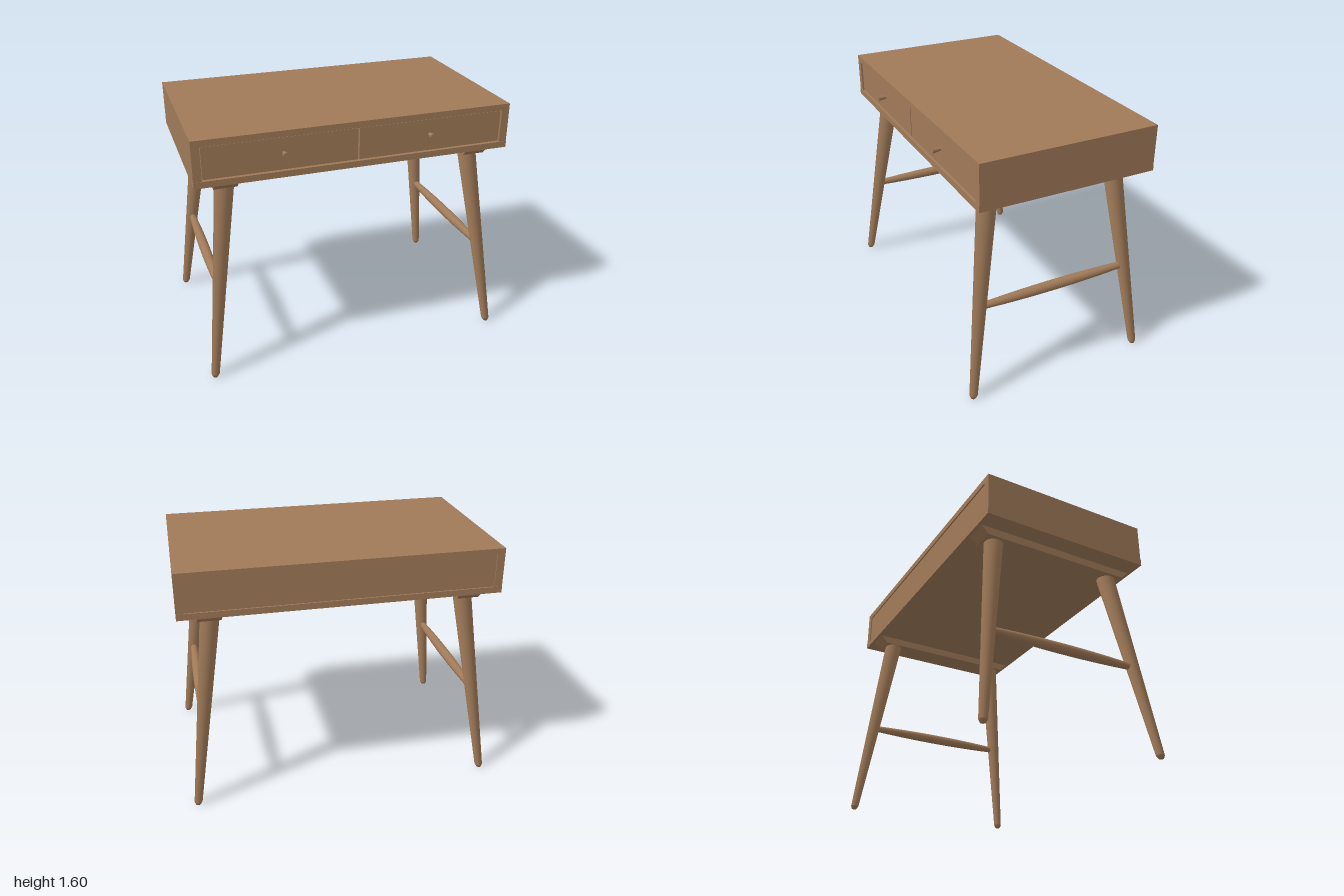
import * as THREE from 'three';

export function createModel() {
  const desk = new THREE.Group();
  desk.name = 'desk';
  const wood = new THREE.MeshStandardMaterial({ color: 0xa07a58 });
  wood.name = 'walnutWood';

  const add = (name, geometry) => {
    const mesh = new THREE.Mesh(geometry, wood);
    mesh.name = name;
    desk.add(mesh);
    return mesh;
  };
  // Box given by its minimum and maximum corners
  const box = (name, x0, x1, y0, y1, z0, z1) =>
    add(name, new THREE.BoxGeometry(x1 - x0, y1 - y0, z1 - z0))
      .position.set((x0 + x1) / 2, (y0 + y1) / 2, (z0 + z1) / 2);

  // Carcass
  box('topPanel', -1, 1, 1.56, 1.6, -0.58, 0.557);
  box('bottomPanel', -1, 1, 1.31, 1.35, -0.582, 0.56);
  box('backPanel', -0.955, 0.955, 1.35, 1.56, -0.572, -0.55);

  // Leg: horizontal rings that shrink and splay outwards, with a chamfered foot
  const makeLeg = (sx, sz) => {
    const rings = [[0.026, 0.02], [0.06, 1.26]];
    const points = [[0, 0], [0.016, 0], ...rings, [0, 1.26]].map(([r, y]) => new THREE.Vector2(r, y));
    // Doubled corner points keep the foot and top edges crisp
    points.splice(3, 0, new THREE.Vector2(0.0261, 0.0205));
    const geometry = new THREE.LatheGeometry(points, 32);
    const pos = geometry.attributes.position;
    const topZ = sz > 0 ? 0.415 : -0.435;
    for (let i = 0; i < pos.count; i++) {
      const t = pos.getY(i) / 1.26;
      pos.setX(i, pos.getX(i) + sx * THREE.MathUtils.lerp(0.971, 0.8, t));
      pos.setZ(i, pos.getZ(i) + THREE.MathUtils.lerp(sz * 0.593, topZ, t));
    }
    return geometry;
  };

  // Runner outline, seen from the side
  const runnerShape = new THREE.Shape([
    [-0.56, 1.31], [-0.51, 1.26], [0.49, 1.26], [0.54, 1.31],
  ].map(([z, y]) => new THREE.Vector2(-z, y)));

  // Swelling stretcher profile
  const stretcherProfile = [];
  for (let i = 0; i <= 16; i++) {
    const t = i / 8 - 1;
    stretcherProfile.push(new THREE.Vector2(0.02 + 0.013 * (1 - t * t), t * 0.51));
  }

  for (const s of [-1, 1]) {
    const side = s > 0 ? 'left' : 'right';
    box(side + 'SidePanel', s * 0.975 - 0.025, s * 0.975 + 0.025, 1.35, 1.56, -0.58, 0.557);

    // Drawer with a tapered knob
    box(side + 'Drawer', s * 0.475 - 0.47, s * 0.475 + 0.47, 1.355, 1.555, -0.5, 0.547);
    const knob = add(side + 'Knob', new THREE.CylinderGeometry(0.019, 0.01, 0.055, 20));
    knob.rotation.x = Math.PI / 2;
    knob.position.set(s * 0.463, 1.46, 0.5725);

    // Runner under the desk
    const runner = add(side + 'Runner', new THREE.ExtrudeGeometry(runnerShape, { depth: 0.145, bevelEnabled: false }));
    runner.rotation.y = Math.PI / 2;
    runner.position.x = s * 0.8075 - 0.0725;

    // Legs and the stretcher between them
    add(side + 'FrontLeg', makeLeg(s, 1));
    add(side + 'BackLeg', makeLeg(s, -1));
    const stretcher = add(side + 'Stretcher', new THREE.LatheGeometry(stretcherProfile, 24));
    stretcher.rotation.x = Math.PI / 2;
    stretcher.position.set(s * 0.889, 0.605, -0.003);
  }
  return desk;
}
